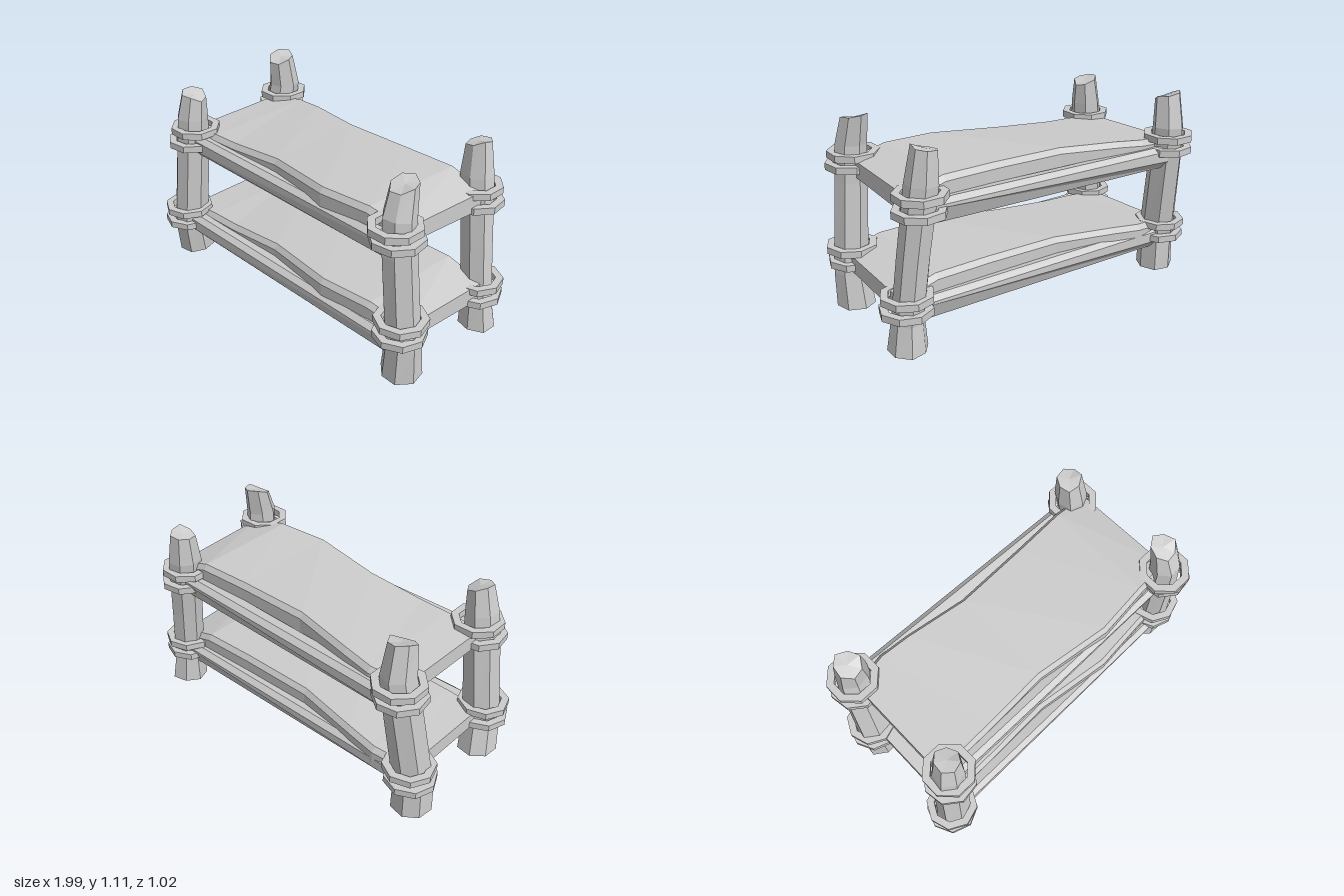
import * as THREE from 'three';

const wood = new THREE.MeshStandardMaterial({ color: 0xcccccc, flatShading: true });
wood.name = 'plain grey';

// Skin a list of equal-sized rings of points and close both ends
function loft(rings) {
  const n = rings[0].length, pos = [], idx = [];
  rings.forEach(r => r.forEach(p => pos.push(...p)));
  for (let k = 0; k < rings.length - 1; k++) {
    for (let i = 0; i < n; i++) {
      const a = k * n + i, b = k * n + (i + 1) % n;
      idx.push(a, a + n, b, b, a + n, b + n);
    }
  }
  [rings[0], rings[rings.length - 1]].forEach((r, end) => {
    const c = pos.length / 3, s = end ? (rings.length - 1) * n : 0;
    pos.push(...[0, 1, 2].map(j => r.reduce((t, p) => t + p[j], 0) / n));
    for (let i = 0; i < n; i++) {
      const a = s + i, b = s + (i + 1) % n;
      idx.push(c, end ? b : a, end ? a : b);
    }
  });
  const g = new THREE.BufferGeometry();
  g.setAttribute('position', new THREE.Float32BufferAttribute(pos, 3));
  g.setIndex(idx);
  const flat = g.toNonIndexed();
  flat.computeVertexNormals();
  return flat;
}

function add(parent, name, geometry) {
  const mesh = new THREE.Mesh(geometry, wood);
  mesh.name = name;
  parent.add(mesh);
  return mesh;
}

// Rough seven-sided log; levels are [y, x, z, radius], the last one is cut at a slant
function post(levels, turn, slant) {
  const sides = 7;
  return loft(levels.map(([y, x, z, r], k) => Array.from({ length: sides }, (_, i) => {
    const a = turn + i / sides * Math.PI * 2;
    const rr = r * (1 + 0.06 * Math.sin(i * 2.4 + turn * 3 + k * 0.4));
    const top = k === levels.length - 1;
    const dy = top ? 0.022 * Math.cos(a - slant) + 0.012 * Math.sin(i * 5) : 0;
    return [x + rr * Math.cos(a), y + dy, z + rr * Math.sin(a)];
  })));
}

// Octagonal rope band around a post
const band = new THREE.LatheGeometry(
  [[0.1, -0.019], [0.142, -0.019], [0.142, 0.019], [0.1, 0.019], [0.1, -0.019]]
    .map(p => new THREE.Vector2(...p)), 8);

// Beam between two ends [x, y, z]; side is +1 for front, -1 for back.
// The chamfer along its lower outer edge widens towards the left end.
function rail(a, b, side) {
  const section = chamfer => {
    const s = [[0.045, -0.062 + chamfer], [0.045, 0.04], [0.015, 0.065], [-0.045, 0.055], [-0.045, -0.05], [0.01, -0.062]];
    return side > 0 ? s : s.map(([z, y]) => [-z, y]).reverse();
  };
  return loft([[a, 0.04], [b, 0.09]].map(([[x, y, z], chamfer]) =>
    section(chamfer).map(([dz, dy]) => [x, y + dy, z + dz])));
}

// Thick board with wavy long edges and a slightly twisted underside:
// [x, top front y, top back y, front z, back z]
const boardStations = [
  [-0.82, 0.81, 0.83, 0.29, -0.33],
  [-0.62, 0.825, 0.85, 0.29, -0.36],
  [-0.45, 0.83, 0.865, 0.288, -0.34],
  [-0.1, 0.86, 0.88, 0.28, -0.28],
  [0.32, 0.882, 0.884, 0.345, -0.285],
  [0.62, 0.887, 0.882, 0.32, -0.295],
  [0.835, 0.845, 0.818, 0.3, -0.3],
];
function board(dx, dy, dz, stretch) {
  return loft(boardStations.map(([x, yf, yb, zf, zb]) => [
    [0.737 + x * 0.022, zf + 0.02],
    [yf - 0.03, zf + 0.022],
    [yf, zf],
    [yb, zb],
    [yb - 0.03, zb - 0.022],
    [0.727 - x * 0.015, zb - 0.02],
  ].map(([y, z]) => [x * stretch + dx, y + dy, z + dz])));
}

const posts = [
  { name: 'frontLeftPost', turn: 0.2, slant: -1.2,
    levels: [[0, 0.85, 0.305, 0.108], [0.2, 0.862, 0.315, 0.094], [0.72, 0.822, 0.325, 0.09], [0.92, 0.812, 0.322, 0.086], [1.07, 0.802, 0.285, 0.073]],
    bands: [[0.858, 0.8, 0.335], [0.8, 0.815, 0.335], [0.338, 0.85, 0.32], [0.258, 0.845, 0.32]] },
  { name: 'backLeftPost', turn: 0.55, slant: 0.2,
    levels: [[0, 0.86, -0.31, 0.103], [0.16, 0.85, -0.305, 0.085], [0.5, 0.81, -0.318, 0.086], [0.88, 0.76, -0.337, 0.09], [1.055, 0.745, -0.345, 0.068]],
    bands: [[0.815, 0.765, -0.32], [0.735, 0.775, -0.325], [0.285, 0.845, -0.29], [0.21, 0.85, -0.285]] },
  { name: 'frontRightPost', turn: 0.9, slant: 2.6,
    levels: [[0, -0.86, 0.335, 0.106], [0.2, -0.84, 0.37, 0.1], [0.72, -0.8, 0.34, 0.096], [0.9, -0.785, 0.335, 0.09], [1.045, -0.767, 0.325, 0.07]],
    bands: [[0.83, -0.775, 0.325], [0.75, -0.79, 0.34], [0.3, -0.845, 0.37], [0.22, -0.85, 0.37]] },
  { name: 'backRightPost', turn: 0.05, slant: -1.6,
    levels: [[0, -0.86, -0.275, 0.106], [0.18, -0.86, -0.275, 0.103], [0.75, -0.815, -0.36, 0.096], [0.91, -0.8, -0.38, 0.09], [1.085, -0.8, -0.36, 0.073]],
    bands: [[0.85, -0.805, -0.375], [0.775, -0.81, -0.365], [0.3, -0.85, -0.305], [0.22, -0.855, -0.295]] },
];

export function createModel() {
  const model = new THREE.Group();
  model.name = 'logShelf';

  // Posts with their rope bands
  for (const p of posts) {
    add(model, p.name, post(p.levels, p.turn, p.slant));
    p.bands.forEach(([y, x, z], i) => {
      const m = add(model, p.name + 'Band' + (i + 1), band);
      m.position.set(x, y, z);
      m.rotation.y = Math.PI / 8 + i * 0.15;
    });
  }

  // Shelves
  add(model, 'upperBoard', board(0, 0, 0, 1));
  add(model, 'lowerBoard', board(0.01, -0.525, 0.025, 1.06));

  // Rails along the long edges
  add(model, 'upperFrontRail', rail([-0.8, 0.737, 0.33], [0.81, 0.725, 0.33], 1));
  add(model, 'upperBackRail', rail([-0.81, 0.737, -0.39], [0.78, 0.725, -0.335], -1));
  add(model, 'lowerFrontRail', rail([-0.85, 0.213, 0.37], [0.85, 0.2, 0.36], 1));
  add(model, 'lowerBackRail', rail([-0.85, 0.213, -0.31], [0.85, 0.2, -0.3], -1));

  return model;
}
